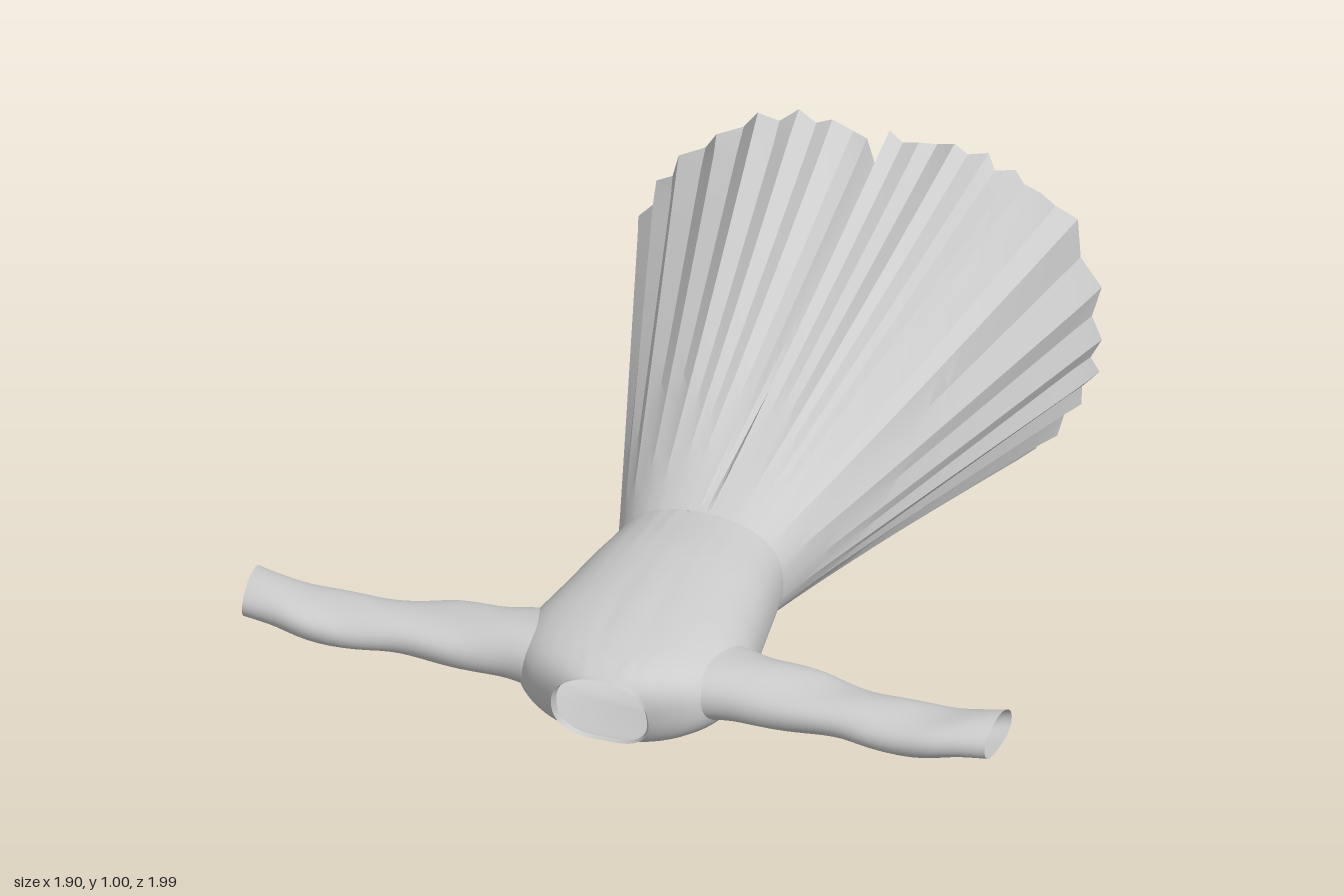
import * as THREE from 'three';
import { toCreasedNormals } from 'three/addons/utils/BufferGeometryUtils.js';

const material = new THREE.MeshStandardMaterial({ color: 0xcccccc, side: THREE.DoubleSide });

// Joins closed rings of Vector3 into an open tube; skip(centre) leaves holes.
function loft(rings, skip = () => false) {
  const n = rings[0].length;
  const index = [];
  for (let i = 0; i < rings.length - 1; i++) {
    for (let j = 0; j < n; j++) {
      const k = (j + 1) % n;
      const centre = rings[i][j].clone().add(rings[i + 1][k]).multiplyScalar(0.5);
      if (skip(centre)) continue;
      const a = i * n + j, b = i * n + k, c = a + n, d = b + n;
      index.push(a, b, c, b, d, c);
    }
  }
  const geometry = new THREE.BufferGeometry().setFromPoints(rings.flat());
  geometry.setIndex(index);
  geometry.computeVertexNormals();
  return geometry;
}

function part(name, geometry) {
  const mesh = new THREE.Mesh(geometry, material);
  mesh.name = name;
  return mesh;
}

// Smoothly resamples rows of section measurements.
function resample(rows, count) {
  return Array.from({ length: count + 1 }, (_, i) => {
    const f = (i / count) * (rows.length - 1);
    const k = Math.min(Math.floor(f), rows.length - 2);
    const at = (r) => rows[Math.max(0, Math.min(rows.length - 1, r))];
    return rows[0].map((_, c) =>
      THREE.MathUtils.clamp(
        catmull(f - k, at(k - 1)[c], at(k)[c], at(k + 1)[c], at(k + 2)[c]), -2, 2));
  });
}
function catmull(t, p0, p1, p2, p3) {
  const v0 = (p2 - p0) / 2, v1 = (p3 - p1) / 2;
  return (2 * p1 - 2 * p2 + v0 + v1) * t ** 3 + (-3 * p1 + 3 * p2 - 2 * v0 - v1) * t * t + v0 * t + p1;
}

// Point on a slightly squared ellipse.
function oval(angle, rx, ry, power = 2.35) {
  const f = (v) => Math.sign(v) * Math.abs(v) ** (2 / power);
  return [rx * f(Math.cos(angle)), ry * f(Math.sin(angle))];
}

// Hem outline (x, y), anticlockwise from the left side, with back slit and front folds
const hem = [
  [0.57, 0.52], [0.565, 0.66], [0.51, 0.85], [0.42, 0.91], [0.35, 0.95], [0.28, 0.98], [0.2, 1],
  [0.11, 0.985], [0.03, 0.99], [0.005, 0.86], [-0.02, 0.97], [-0.11, 1], [-0.2, 1], [-0.3, 0.975],
  [-0.4, 0.9], [-0.5, 0.81], [-0.56, 0.72], [-0.6, 0.62], [-0.6, 0.5], [-0.57, 0.37], [-0.53, 0.27],
  [-0.47, 0.22], [-0.41, 0.21], [-0.31, 0.25], [-0.33, 0.15], [-0.25, 0.08], [-0.13, 0],
  [-0.08, 0.03], [-0.045, 0.09], [0.03, 0.01], [0.1, 0.02], [0.2, 0.045], [0.25, 0.1],
  [0.25, 0.185], [0.31, 0.185], [0.4, 0.17], [0.46, 0.23], [0.52, 0.33], [0.56, 0.42],
];

function makeSkirt() {
  const cx = -0.005, cy = 0.515;
  // Pleat valleys sit between neighbouring hem points
  const outline = hem.flatMap(([x, y], i) => {
    const [u, v] = hem[(i + 1) % hem.length];
    const mx = (x + u) / 2 - cx, my = (y + v) / 2 - cy;
    return [[x, y], [cx + mx * 0.965, cy + my * 0.965]];
  });
  const rings = [];
  const steps = 16;
  for (let i = 0; i <= steps; i++) {
    const t = 1 - i / steps;
    rings.push(outline.map(([x, y], j) => {
      const [wx, wy] = oval(Math.atan2((y - cy) / 0.5, (x - cx) / 0.59), 0.21, 0.157);
      const ragged = t === 1 ? 0.012 * Math.sin(j * 2.3) : 0;
      return new THREE.Vector3(
        THREE.MathUtils.lerp(wx, x, t),
        THREE.MathUtils.lerp(cy + wy, y, t ** 1.15),
        0.28 - 1.255 * t + ragged);
    }));
  }
  return part('skirt', toCreasedNormals(loft(rings), 0.3));
}

function makeBodice() {
  // z, half width, bottom, top, neckline amount
  const rows = [
    [0.28, 0.21, 0.358, 0.672, 0], [0.34, 0.218, 0.35, 0.677, 0], [0.45, 0.235, 0.352, 0.687, 0],
    [0.57, 0.253, 0.352, 0.69, 0], [0.67, 0.272, 0.36, 0.688, 0], [0.74, 0.28, 0.38, 0.684, 0],
    [0.81, 0.272, 0.4, 0.678, 0], [0.87, 0.255, 0.415, 0.67, 0], [0.92, 0.215, 0.425, 0.66, 0.2],
    [0.95, 0.16, 0.432, 0.648, 0.6], [0.965, 0.115, 0.44, 0.635, 1],
  ];
  const n = 72;
  const rings = resample(rows, 50).map(([z, w, low, high, neck]) =>
    Array.from({ length: n }, (_, j) => {
      const a = (j / n) * Math.PI * 2;
      const [x, y] = oval(a, w, (high - low) / 2);
      // Soft gathers down the middle of the back
      const gather = y > 0 ? 0.004 * Math.cos(x * 130) * Math.exp(-((x / 0.09) ** 2)) * (1 - neck) : 0;
      return new THREE.Vector3(x, (low + high) / 2 + y + gather,
        z + neck * (0.2 * y + 0.015 * Math.abs(Math.cos(a))));
    }));
  // Armholes open into the sleeves
  const armhole = (p) => Math.abs(p.x) > 0.16 &&
    ((p.z - 0.8) / 0.1) ** 2 + ((p.y - 0.552) / 0.06) ** 2 < 1;
  return part('bodice', loft(rings, armhole));
}

function makeNeckband() {
  // Narrow upright edge around the neck opening: half width, half height, z
  const rows = [[0.115, 0.0975, 0.965], [0.117, 0.097, 0.975], [0.123, 0.096, 0.982]];
  const rings = rows.map(([w, h, z]) => Array.from({ length: 40 }, (_, j) => {
    const a = (j / 40) * Math.PI * 2;
    const [x, y] = oval(a, w, h);
    return new THREE.Vector3(x, 0.5375 + y, z + 0.2 * y + 0.015 * Math.abs(Math.cos(a)));
  }));
  return part('neckband', loft(rings));
}

function makeSleeve(name, side) {
  // x, centre z, half depth, centre y, half height
  const rows = [
    [0.215, 0.795, 0.118, 0.553, 0.082], [0.28, 0.79, 0.114, 0.553, 0.074], [0.35, 0.797, 0.106, 0.553, 0.066],
    [0.45, 0.803, 0.101, 0.554, 0.058], [0.55, 0.812, 0.09, 0.552, 0.052], [0.65, 0.826, 0.087, 0.551, 0.05],
    [0.78, 0.835, 0.087, 0.557, 0.05], [0.87, 0.825, 0.084, 0.566, 0.048], [0.94, 0.817, 0.083, 0.574, 0.046],
  ];
  const n = 32;
  const rings = resample(rows, 32).map(([x, cz, rz, cy, ry]) =>
    Array.from({ length: n }, (_, j) => {
      const [y, z] = oval((j / n) * Math.PI * 2, ry, rz, 2.15);
      const crease = 0.004 * Math.sin(x * 22 + z * 25);
      return new THREE.Vector3(x - 0.06 * (z - 0.05) * (x > 0.9 ? 1 : 0), cy + y + crease, cz + z);
    }));
  const sleeve = part(name, loft(rings));
  sleeve.scale.x = side;
  return sleeve;
}

export function createModel() {
  const dress = new THREE.Group();
  dress.name = 'dress';
  dress.add(makeSkirt(), makeBodice(), makeNeckband(),
    makeSleeve('leftSleeve', 1), makeSleeve('rightSleeve', -1));
  return dress;
}
